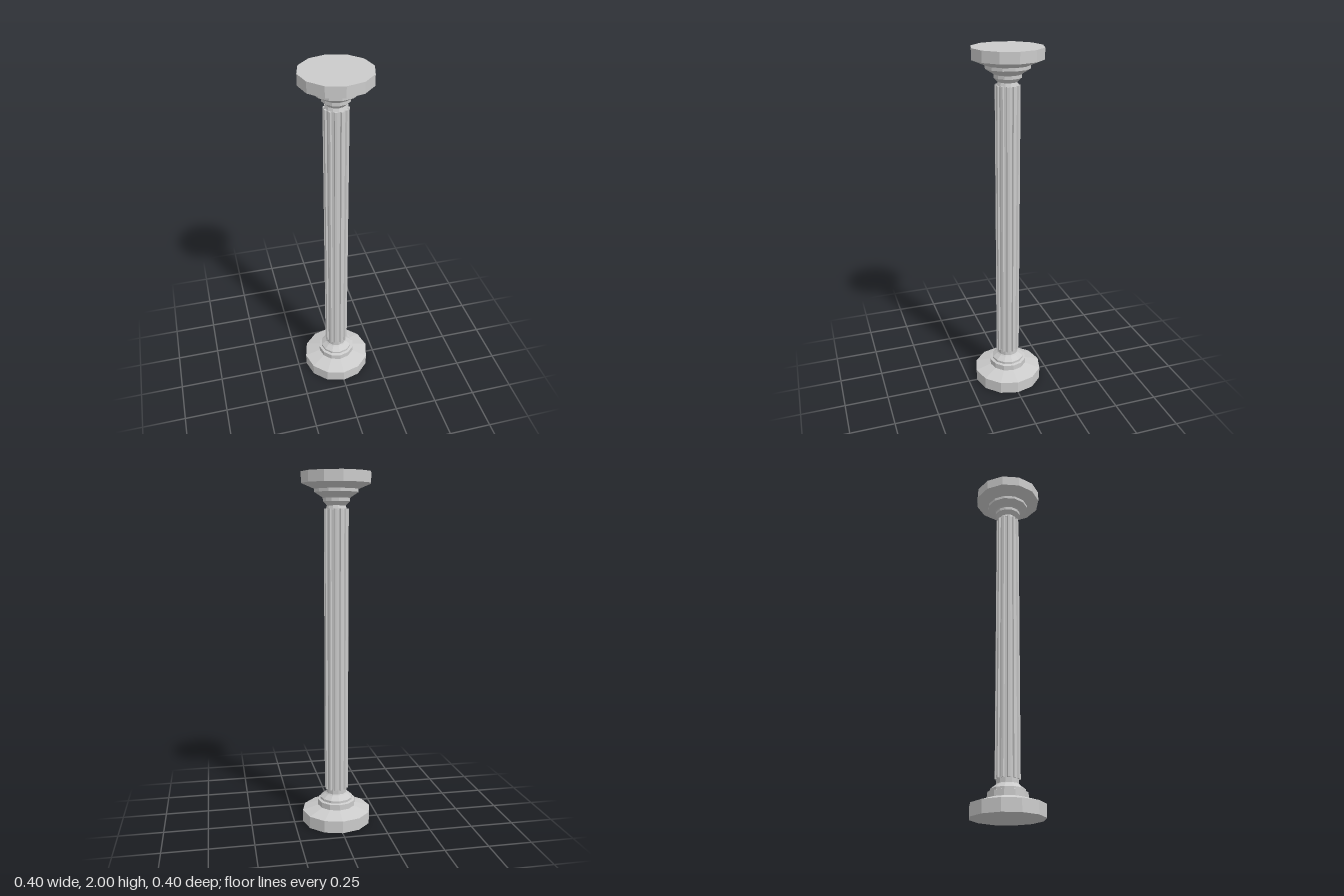
import * as THREE from 'three';

const SIDES = 12;
const FLUTES = 12;

export function createModel() {
  const column = new THREE.Group();
  column.name = 'column';
  const material = new THREE.MeshStandardMaterial({ color: 0xcccccc, flatShading: true });

  const add = (name, geometry) => {
    const mesh = new THREE.Mesh(geometry, material);
    mesh.name = name;
    column.add(mesh);
    return mesh;
  };

  // Turned part from [radius, height] pairs, listed bottom to top
  const turned = (name, profile) =>
    add(name, new THREE.LatheGeometry(profile.map(([r, y]) => new THREE.Vector2(r, y)), SIDES));

  // Stepped foot: plinth, sloped shoulder and two rings
  turned('base', [
    [0, 0], [0.2, 0], [0.2, 0.07], [0.109, 0.098], [0.109, 0.13],
    [0.094, 0.134], [0.094, 0.147], [0.066, 0.168], [0.06, 0.175], [0.06, 0.205], [0, 0.205],
  ]);

  // Fluted shaft: a ring of ridges with a groove centred on each axis
  const outline = [];
  for (let i = 0; i < FLUTES; i++) {
    const middle = (i / FLUTES) * Math.PI * 2;
    for (const [degrees, r] of [[-10, 0.068], [-6, 0.059], [6, 0.059], [10, 0.068]]) {
      const a = middle + THREE.MathUtils.degToRad(degrees);
      outline.push(new THREE.Vector2(Math.cos(a) * r, Math.sin(a) * r));
    }
  }
  const shaft = new THREE.ExtrudeGeometry(new THREE.Shape(outline), { depth: 1.605, bevelEnabled: false });
  shaft.rotateX(-Math.PI / 2);
  shaft.translate(0, 0.2, 0);
  add('flutedShaft', shaft);

  // Flared capital: neck, two rings and the top slab
  turned('capital', [
    [0, 1.8], [0.06, 1.8], [0.052, 1.822], [0.07, 1.84], [0.075, 1.844], [0.075, 1.862],
    [0.082, 1.868], [0.122, 1.893], [0.122, 1.91], [0.194, 1.94], [0.194, 2], [0, 2],
  ]);

  return column;
}
